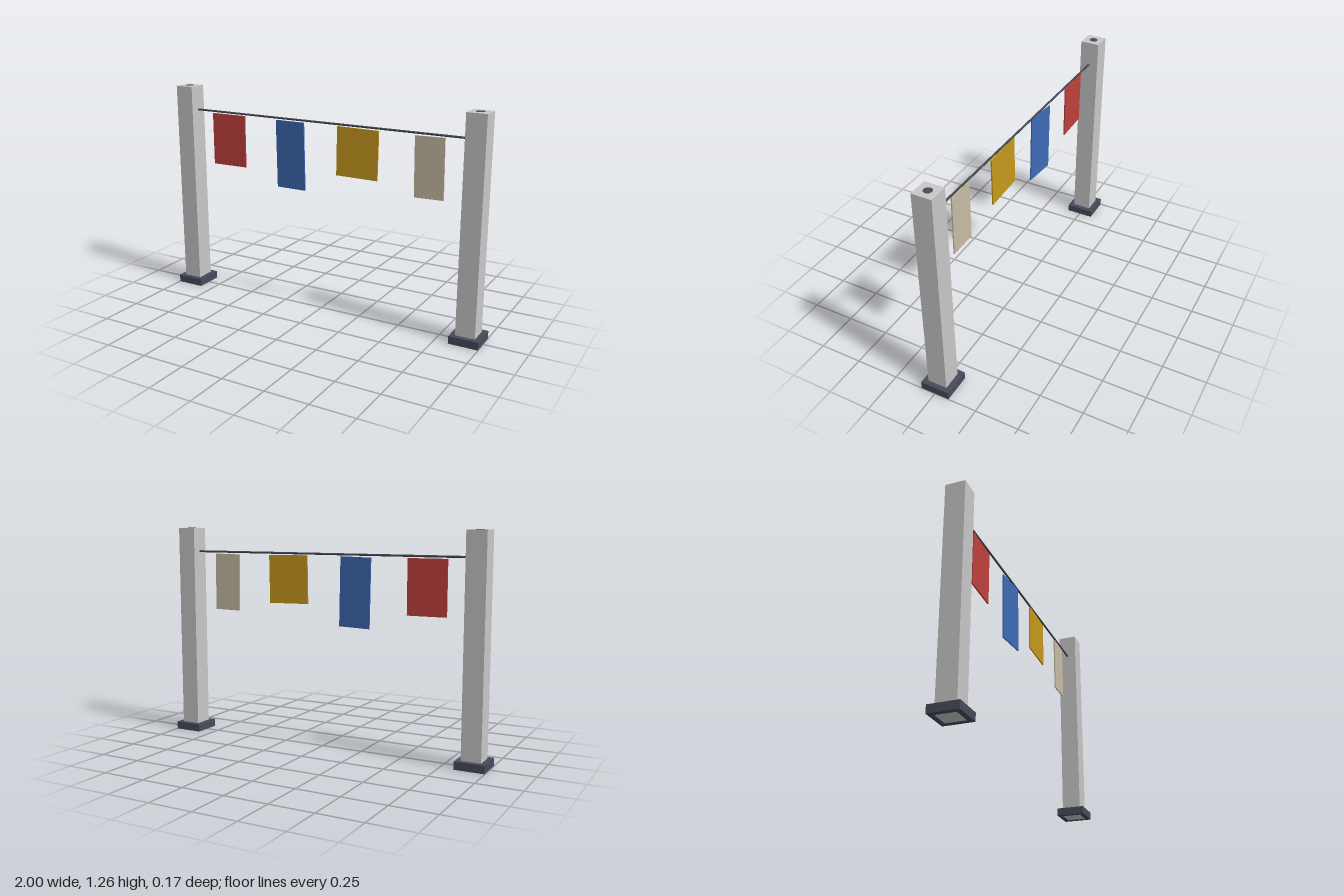
import * as THREE from 'three';

function material(name, color) {
  const m = new THREE.MeshStandardMaterial({ color });
  m.name = name;
  return m;
}

function add(parent, name, geometry, mat, x, y, z = 0) {
  const mesh = new THREE.Mesh(geometry, mat);
  mesh.name = name;
  mesh.position.set(x, y, z);
  parent.add(mesh);
  return mesh;
}

function squarePath(path, size) {
  const h = size / 2;
  path.moveTo(-h, -h);
  path.lineTo(h, -h);
  path.lineTo(h, h);
  path.lineTo(-h, h);
  path.closePath();
  return path;
}

export function createModel() {
  const model = new THREE.Group();
  model.name = 'bannerLine';

  const stone = material('paleGrey', 0xc8c8c8);
  const dark = material('darkSlate', 0x474a5a);
  const wire = material('ropeGrey', 0x444852);

  const postX = 0.915, postWidth = 0.112, postHeight = 1.26;

  // Square collar open in the middle, so the post foot shows underneath
  const collar = squarePath(new THREE.Shape(), 0.168);
  collar.holes.push(squarePath(new THREE.Path(), postWidth));
  const collarGeometry = new THREE.ExtrudeGeometry(collar, { depth: 0.045, bevelEnabled: false });
  collarGeometry.rotateX(-Math.PI / 2);

  // Two posts, each with a foot collar and a dark round spot on top
  for (const side of [-1, 1]) {
    const post = new THREE.Group();
    post.name = side > 0 ? 'leftPost' : 'rightPost';
    post.position.x = side * postX;
    add(post, 'shaft', new THREE.BoxGeometry(postWidth, postHeight - 0.002, postWidth), stone, 0, postHeight / 2);
    add(post, 'footCollar', collarGeometry, dark, 0, 0);
    add(post, 'topSocket', new THREE.CylinderGeometry(0.024, 0.024, 0.004, 12), dark, 0, postHeight - 0.002);
    model.add(post);
  }

  // Line between the inner faces of the posts
  const lineGeometry = new THREE.CylinderGeometry(0.006, 0.006, 1.72, 8);
  lineGeometry.rotateZ(Math.PI / 2);
  add(model, 'line', lineGeometry, wire, 0, 1.117);

  // Hanging cloths: centre, size, and slight turn and lean
  const cloths = [
    ['redCloth', 0xc0403c, -0.632, 0.95, 0.225, 0.31, 0.03, 0],
    ['blueCloth', 0x3d6cb9, -0.204, 0.906, 0.194, 0.396, -0.07, 0.018],
    ['yellowCloth', 0xc7981c, 0.226, 0.965, 0.252, 0.28, 0.02, -0.015],
    ['creamCloth', 0xc8bca4, 0.653, 0.935, 0.168, 0.338, 0.02, 0.015],
  ];
  for (const [name, color, x, y, w, h, turn, lean] of cloths) {
    const cloth = add(model, name, new THREE.BoxGeometry(w, h, 0.007), material(name + 'Colour', color), x, y);
    cloth.rotation.set(0, turn, lean);
  }

  return model;
}
